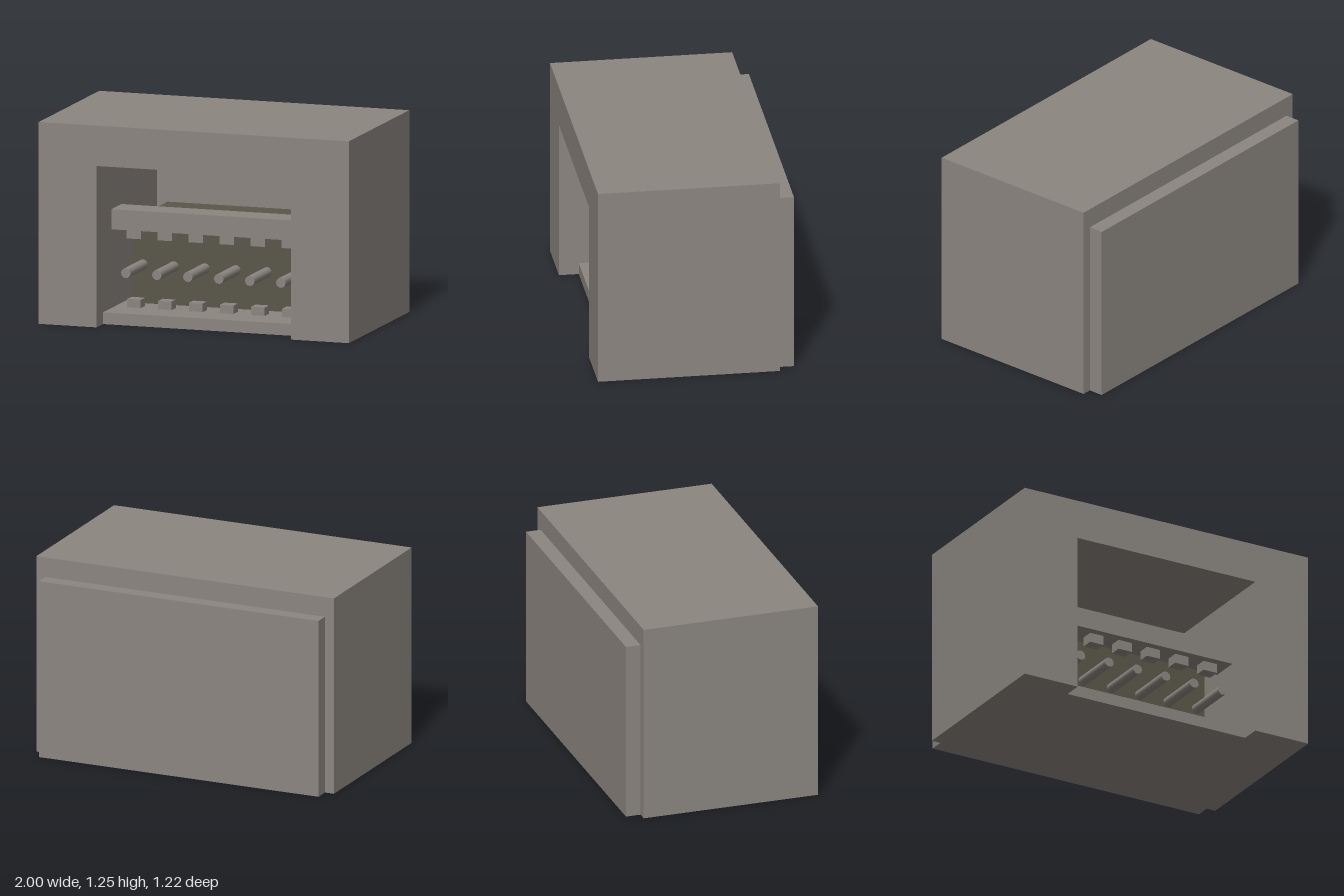
import * as THREE from 'three';

export function createModel() {
  const group = new THREE.Group();
  const grey = new THREE.MeshStandardMaterial({ color: 0x8c8680 });
  grey.name = 'warm grey';
  const olive = new THREE.MeshStandardMaterial({ color: 0x5a574a });
  olive.name = 'dark olive';

  const add = (name, geometry, material) => {
    const mesh = new THREE.Mesh(geometry, material);
    mesh.name = name;
    group.add(mesh);
    return mesh;
  };
  // box given by its extents on each axis
  const box = (name, [x0, x1], [y0, y1], [z0, z1], material = grey) => {
    const mesh = add(name, new THREE.BoxGeometry(x1 - x0, y1 - y0, z1 - z0), material);
    mesh.position.set((x0 + x1) / 2, (y0 + y1) / 2, (z0 + z1) / 2);
  };

  // housing: an arch with a deep cavity
  const arch = new THREE.Shape([
    [-1, 0], [-0.627, 0], [-0.627, 1], [0.627, 1],
    [0.627, 0], [1, 0], [1, 1.25], [-1, 1.25],
  ].map(([x, y]) => new THREE.Vector2(x, y)));
  const housing = new THREE.ExtrudeGeometry(arch, { depth: 1.122, bevelEnabled: false });
  housing.translate(0, 0, -0.515);
  add('housing', housing, grey);

  // back cover closes the cavity
  box('backCover', [-0.94, 0.94], [0, 1.125], [-0.609, -0.515]);

  // socket inside the cavity
  box('floor', [-0.627, 0.627], [0, 0.073], [-0.515, 0.485]);
  box('crossBar', [-0.627, 0.627], [0.56, 0.685], [0.145, 0.33]);
  box('contactBlock', [-0.56, 0.56], [0.073, 0.59], [-0.515, 0.11], olive);

  // six pins, each with a tab above and below
  for (let i = 0; i < 6; i++) {
    const x = -0.5 + i * 0.2;
    const pin = add('pin', new THREE.CylinderGeometry(0.031, 0.031, 0.33, 12), grey);
    pin.rotation.x = Math.PI / 2;
    pin.position.set(x, 0.313, 0.265);
    box('lowerTab', [x - 0.044, x + 0.044], [0.073, 0.125], [0.2, 0.28]);
    box('upperTab', [x - 0.047, x + 0.047], [0.5, 0.56], [0.2, 0.28]);
  }
  return group;
}
